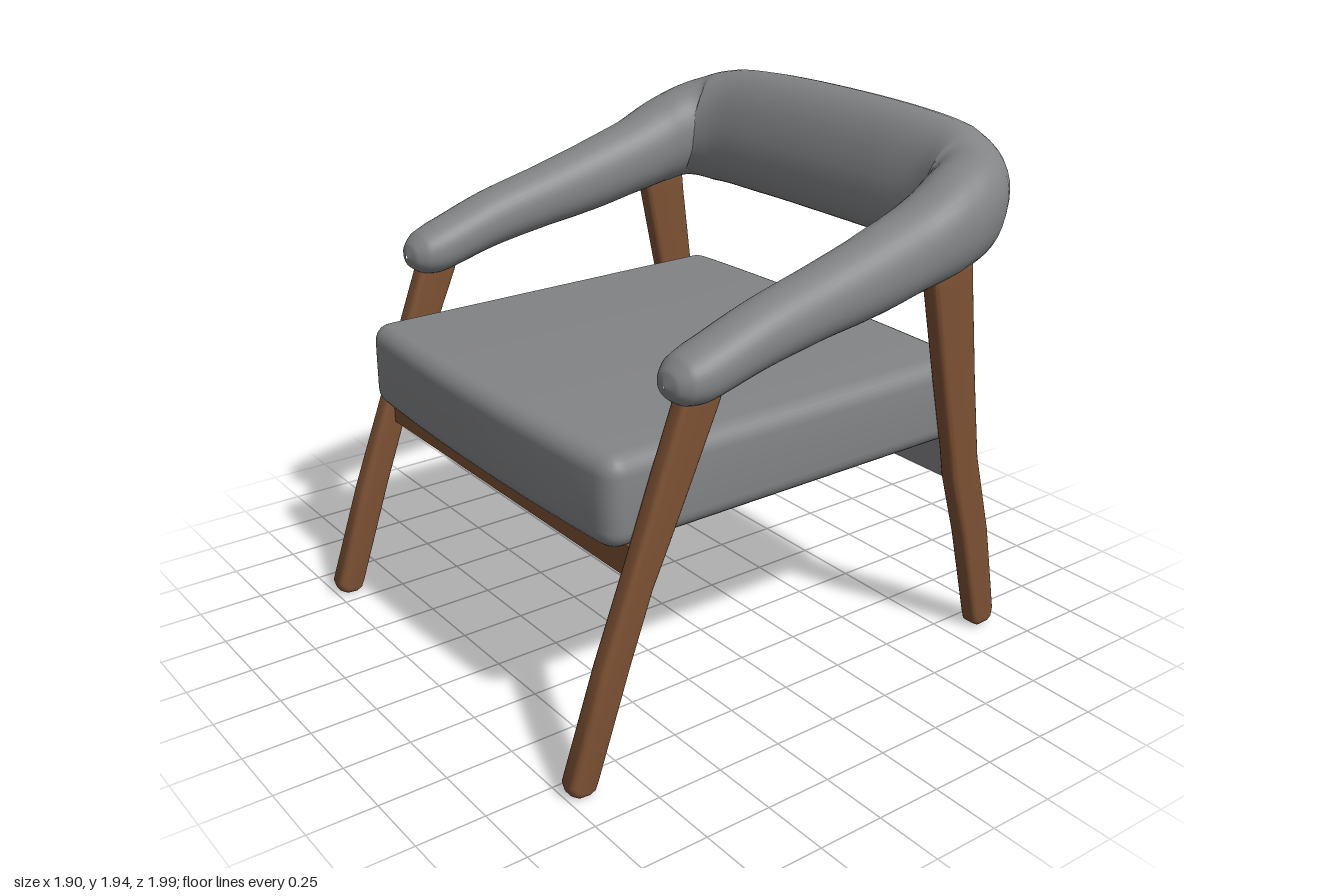
import * as THREE from 'three';
import { toCreasedNormals } from 'three/addons/utils/BufferGeometryUtils.js';

const fabric = new THREE.MeshStandardMaterial({ color: 0x838486 });
fabric.name = 'grey fabric';
const wood = new THREE.MeshStandardMaterial({ color: 0x7c5134 });
wood.name = 'brown wood';

function addMesh(parent, name, geometry, material) {
  const mesh = new THREE.Mesh(geometry, material);
  mesh.name = name;
  parent.add(mesh);
  return mesh;
}

// Extrusion with rounded edges, centred on its own depth
function softExtrude(shape, thickness, bevel, segments) {
  const geo = new THREE.ExtrudeGeometry(shape, {
    depth: thickness - 2 * bevel, bevelEnabled: true, bevelThickness: bevel,
    bevelSize: bevel, bevelOffset: -bevel, bevelSegments: segments, curveSegments: 10,
  });
  geo.translate(0, 0, bevel - thickness / 2);
  return toCreasedNormals(geo, 0.7);
}

// Padded U-shaped roll: arms and backrest in one sweep
function paddedRollGeometry() {
  // x, y, z, half width, half height, backward lean
  const half = [
    [0.825, 1.335, 0.605, 0.006, 0.006, 0],
    [0.825, 1.337, 0.59, 0.055, 0.045, 0],
    [0.825, 1.343, 0.55, 0.09, 0.078, 0],
    [0.825, 1.355, 0.48, 0.106, 0.096, 0],
    [0.825, 1.425, 0.25, 0.111, 0.108, 0],
    [0.82, 1.48, 0, 0.115, 0.12, 0],
    [0.818, 1.522, -0.2, 0.122, 0.135, 0],
    [0.812, 1.58, -0.42, 0.133, 0.152, 0.05],
    [0.803, 1.64, -0.6, 0.146, 0.185, 0.15],
    [0.755, 1.68, -0.745, 0.15, 0.21, 0.27],
    [0.62, 1.695, -0.805, 0.145, 0.232, 0.33],
    [0.35, 1.705, -0.822, 0.145, 0.24, 0.33],
  ];
  const middle = [0, 1.708, -0.826, 0.146, 0.242, 0.33];
  const mirrored = half.map(([x, ...rest]) => [-x, ...rest]).reverse();
  const stations = [...half, middle, ...mirrored];
  const path = new THREE.CatmullRomCurve3(stations.map((s) => new THREE.Vector3(s[0], s[1], s[2])));
  const size = new THREE.CatmullRomCurve3(stations.map((s) => new THREE.Vector3(s[3], s[4], s[5])));

  const rings = 144, sides = 36, pos = [], index = [];
  const soft = (v) => Math.sign(v) * Math.abs(v) ** 0.92;
  for (let i = 0; i <= rings; i++) {
    const p = path.getPoint(i / rings), s = size.getPoint(i / rings);
    const tangent = path.getTangent(i / rings);
    const up = new THREE.Vector3(0, Math.cos(s.z), -Math.sin(s.z));
    const out = new THREE.Vector3().crossVectors(tangent, up).normalize();
    for (let j = 0; j < sides; j++) {
      const a = (j / sides) * Math.PI * 2;
      const v = p.clone().addScaledVector(out, s.x * soft(Math.cos(a)))
        .addScaledVector(up, s.y * soft(Math.sin(a)));
      pos.push(v.x, v.y, v.z);
      if (i < rings) {
        const k = (j + 1) % sides, r = i * sides, n = r + sides;
        index.push(r + j, n + j, r + k, r + k, n + j, n + k);
      }
    }
  }
  const geo = new THREE.BufferGeometry();
  geo.setAttribute('position', new THREE.Float32BufferAttribute(pos, 3));
  geo.setIndex(index);
  geo.computeVertexNormals();
  return geo;
}

// Seat cushion: plan outline with gently bowed front and back
function cushionGeometry() {
  const s = new THREE.Shape();
  s.moveTo(-0.8, -0.72);
  s.quadraticCurveTo(-0.8, -0.79, -0.72, -0.8);
  s.quadraticCurveTo(0, -0.845, 0.72, -0.8);
  s.quadraticCurveTo(0.8, -0.79, 0.8, -0.72);
  s.lineTo(0.8, 0.72);
  s.quadraticCurveTo(0.8, 0.79, 0.72, 0.8);
  s.quadraticCurveTo(0, 0.845, -0.72, 0.8);
  s.quadraticCurveTo(-0.8, 0.79, -0.8, 0.72);
  return softExtrude(s, 0.32, 0.065, 6).rotateX(-Math.PI / 2);
}

// Leg from a side profile of [z, y] points
function legGeometry(points) {
  const shape = new THREE.Shape(points.map(([z, y]) => new THREE.Vector2(z, y)));
  return softExtrude(shape, 0.076, 0.022, 4).rotateY(-Math.PI / 2);
}

export function createModel() {
  const chair = new THREE.Group();
  chair.name = 'armchair';

  addMesh(chair, 'armAndBackRoll', paddedRollGeometry(), fabric);
  addMesh(chair, 'seatCushion', cushionGeometry(), fabric).position.y = 0.957;

  // Tapered, splayed legs with rounded feet
  const frontLeg = legGeometry([
    [0.39, 1.31], [0.41, 1.25], [0.52, 1.0], [0.61, 0.8], [0.67, 0.67], [0.76, 0.42],
    [0.888, 0.04], [0.9, 0.012], [0.925, 0], [0.965, 0.003], [0.99, 0.02], [1.0, 0.055],
    [0.87, 0.44], [0.745, 0.77], [0.64, 1.06], [0.565, 1.26], [0.55, 1.31],
  ]);
  const backLeg = legGeometry([
    [-0.5, 1.5], [-0.515, 1.43], [-0.58, 1.12], [-0.655, 0.78], [-0.675, 0.67], [-0.75, 0.42],
    [-0.84, 0.05], [-0.85, 0.018], [-0.875, 0.002], [-0.925, 0.004], [-0.947, 0.02], [-0.953, 0.06],
    [-0.885, 0.42], [-0.8, 0.74], [-0.755, 1.05], [-0.71, 1.4], [-0.7, 1.5],
  ].reverse());
  for (const [side, sign] of [['left', 1], ['right', -1]]) {
    addMesh(chair, side + 'FrontLeg', frontLeg, wood).position.x = sign * 0.832;
    addMesh(chair, side + 'BackLeg', backLeg, wood).position.x = sign * 0.832;
  }

  // Cross rails under the cushion
  const frontRail = addMesh(chair, 'frontRail', new THREE.BoxGeometry(1.62, 0.115, 0.065), wood);
  frontRail.position.set(0, 0.748, 0.68);
  const backRail = addMesh(chair, 'backRail', new THREE.BoxGeometry(1.62, 0.145, 0.07), wood);
  backRail.position.set(0, 0.738, -0.728);

  // Fabric edge wrapped over the inside of the back rail
  const lining = addMesh(chair, 'backRailLining', new THREE.BoxGeometry(1.6, 0.143, 0.008), fabric);
  lining.position.set(0, 0.738, -0.69);

  return chair;
}
